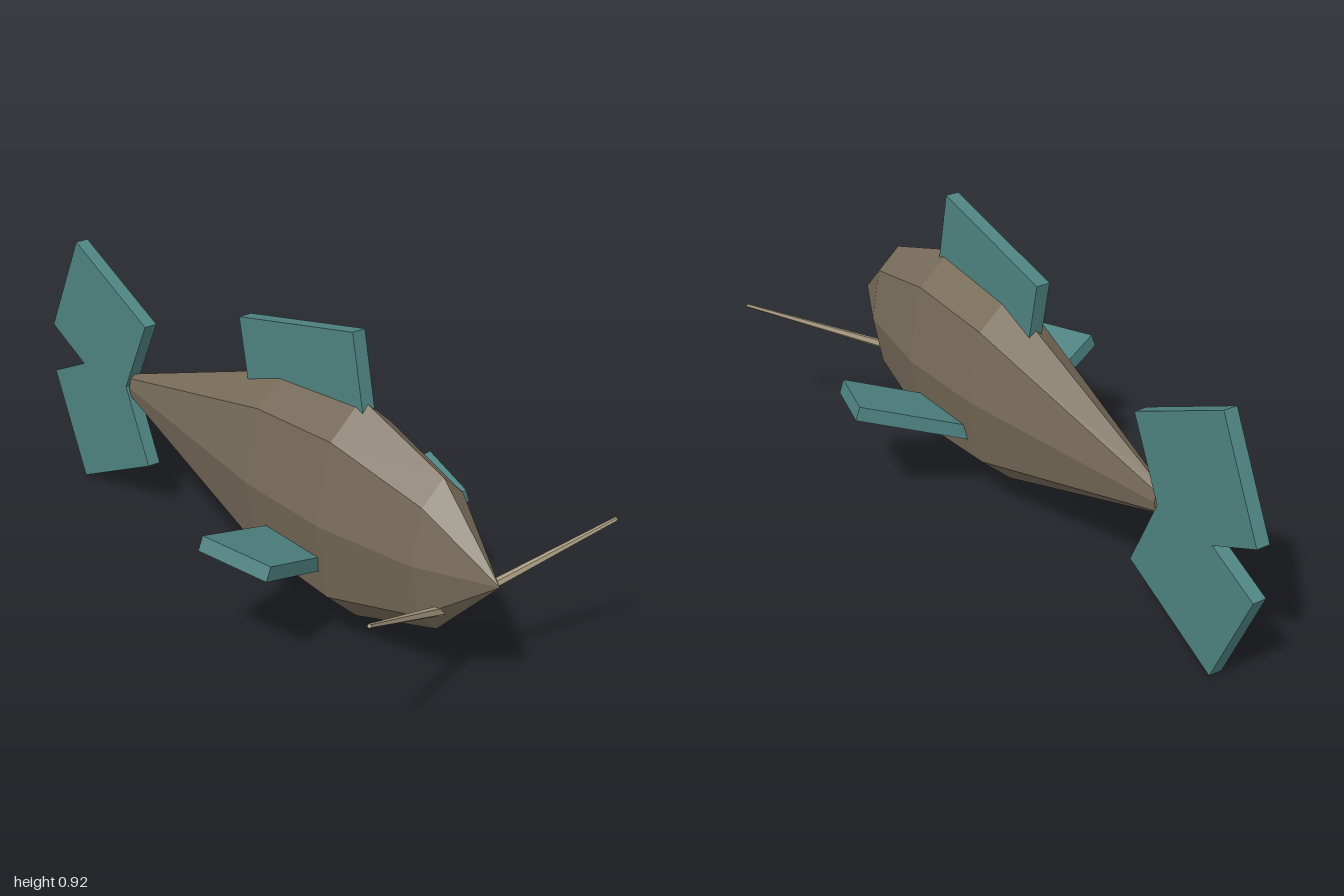
import * as THREE from 'three';

const skin = new THREE.MeshStandardMaterial({ color: 0x786c5a, flatShading: true });
skin.name = 'brown skin';
const teal = new THREE.MeshStandardMaterial({ color: 0x4e8381, flatShading: true });
teal.name = 'teal fin';
const tan = new THREE.MeshStandardMaterial({ color: 0xa89a80, flatShading: true });
tan.name = 'tan whisker';

const rad = THREE.MathUtils.degToRad;
const MID = 0.405; // height of the body axis

function add(group, name, geometry, material) {
  const mesh = new THREE.Mesh(geometry, material);
  mesh.name = name;
  group.add(mesh);
  return mesh;
}

export function createModel() {
  const fish = new THREE.Group();
  fish.name = 'fish';

  // Body: eight-sided lathe laid along z and squeezed sideways; [radius, z] from tail to nose
  const profile = [[0, -0.58], [0.042, -0.58], [0.303, 0.15], [0.329, 0.465], [0.222, 0.78], [0, 0.995]];
  const bodyGeo = new THREE.LatheGeometry(profile.map(([r, z]) => new THREE.Vector2(r, z)), 8);
  bodyGeo.rotateX(Math.PI / 2).scale(0.455, 1, 1).translate(0, MID, 0);
  add(fish, 'body', bodyGeo, skin);

  // Dorsal fin: tilted slab sunk into the back
  const dorsal = add(fish, 'dorsalFin', new THREE.BoxGeometry(0.042, 0.24, 0.485), teal);
  dorsal.position.set(0, 0.75, 0.235);
  dorsal.rotation.x = rad(-12.5);

  for (const side of [1, -1]) {
    const label = side > 0 ? 'left' : 'right';

    // Tail lobes: one slab above and one below the axis
    const lobe = add(fish, side > 0 ? 'upperTailLobe' : 'lowerTailLobe',
      new THREE.BoxGeometry(0.042, 0.356, 0.397), teal);
    lobe.position.set(0, MID + side * 0.156, -0.74);
    lobe.rotation.x = side * rad(25.5);

    // Pectoral fins: raised outward and swept forward
    const fin = add(fish, label + 'PectoralFin', new THREE.BoxGeometry(0.42, 0.043, 0.22), teal);
    fin.position.set(side * 0.198, 0.299, 0.354);
    fin.rotation.set(0, side * rad(-17), side * rad(20), 'ZYX');

    // Whiskers: thin tapering rods from the mouth
    const root = new THREE.Vector3(0, 0.255, 0.81);
    const tip = new THREE.Vector3(side * 0.432, 0.455, 0.99);
    const along = tip.clone().sub(root);
    const whisker = add(fish, label + 'Whisker',
      new THREE.CylinderGeometry(0.006, 0.015, along.length(), 5), tan);
    whisker.position.copy(root).lerp(tip, 0.5);
    whisker.quaternion.setFromUnitVectors(new THREE.Vector3(0, 1, 0), along.normalize());
  }
  return fish;
}
